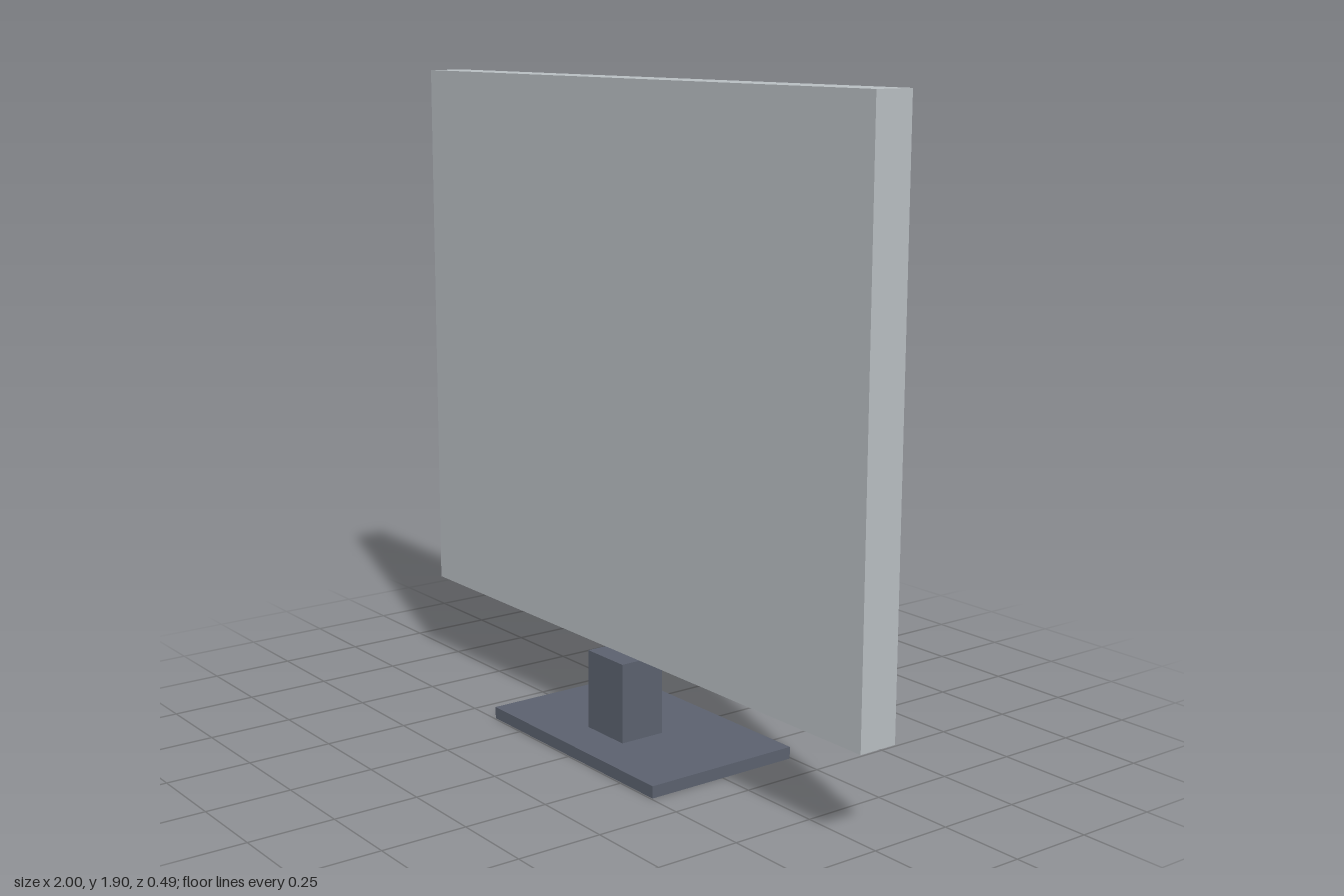
import * as THREE from 'three';

export function createModel() {
  const model = new THREE.Group();
  const grey = new THREE.MeshStandardMaterial({ color: 0xb8bec2 });
  const dark = new THREE.MeshStandardMaterial({ color: 0x5b616e });
  const glass = new THREE.MeshStandardMaterial({ color: 0x5f7f8a });

  // Box given by its min and max corners
  function box(name, material, [x0, y0, z0], [x1, y1, z1]) {
    const mesh = new THREE.Mesh(new THREE.BoxGeometry(x1 - x0, y1 - y0, z1 - z0), material);
    mesh.position.set((x0 + x1) / 2, (y0 + y1) / 2, (z0 + z1) / 2);
    mesh.name = name;
    model.add(mesh);
  }

  // Stand: flat foot and upright neck
  box('base', dark, [-0.39, 0, -0.245], [0.39, 0.035, 0.245]);
  box('neck', dark, [-0.083, 0.035, -0.022], [0.083, 0.27, 0.12]);

  // Casing with the raised screen on its rear side
  box('casing', grey, [-1, 0.27, -0.059], [1, 1.905, 0.059]);
  box('screen', glass, [-0.933, 0.338, -0.073], [0.933, 1.837, -0.059]);

  return model;
}
